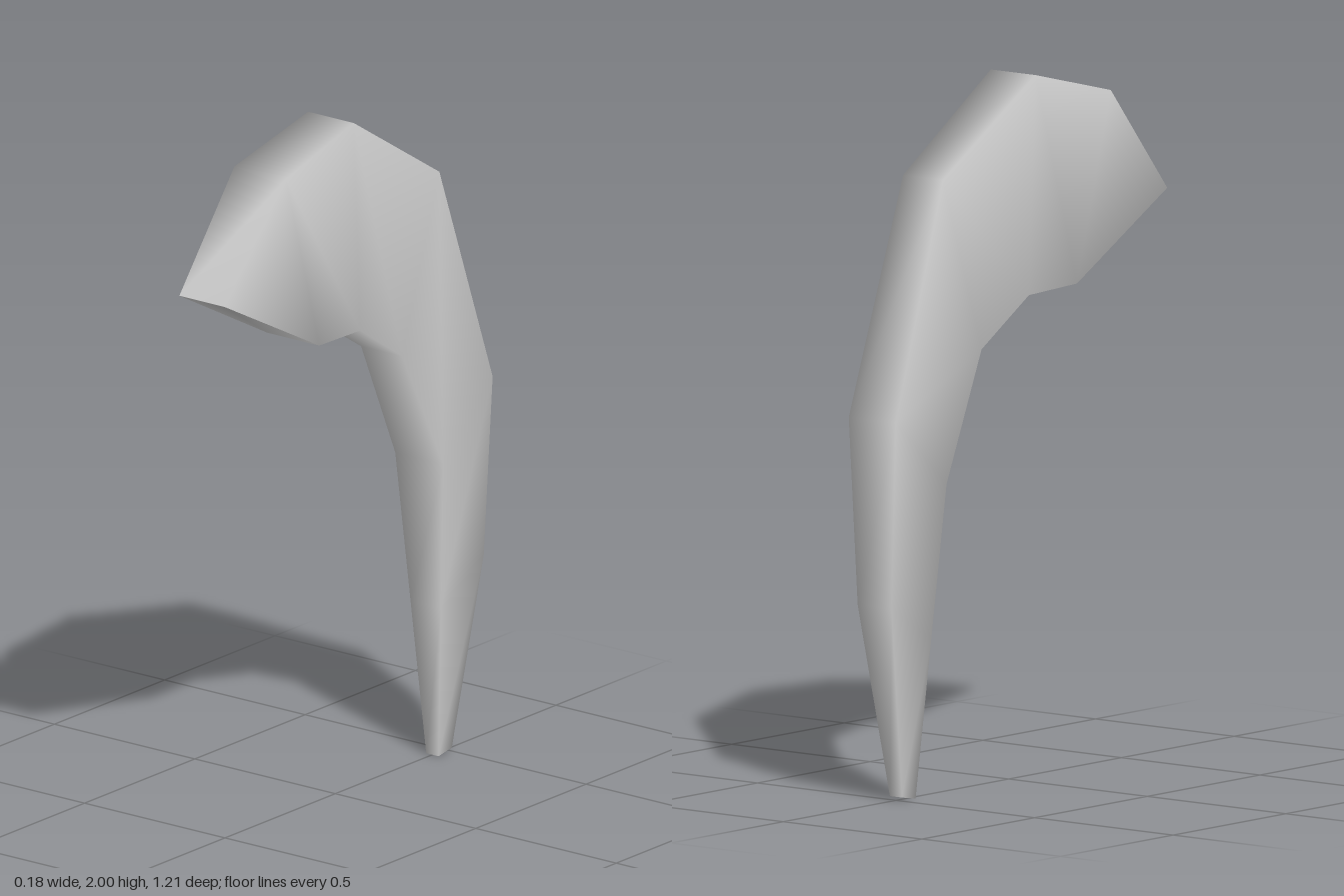
import * as THREE from 'three';

// Cross-sections from the handle end to the tip of the head:
// outer edge [z, y, half width], inner edge [z, y, half width]
const sections = [
  [[-0.50, 0.01, 0.022], [-0.44, 0.00, 0.022]],
  [[-0.595, 0.56, 0.061], [-0.41, 0.45, 0.054]],
  [[-0.605, 1.09, 0.085], [-0.38, 0.89, 0.085]],
  [[-0.38, 1.75, 0.072], [-0.21, 1.25, 0.073]],
  [[0.02, 2.00, 0.081], [-0.01, 1.38, 0.081]],
  [[0.34, 1.92, 0.092], [0.19, 1.39, 0.092]],
  [[0.605, 1.61, 0.08], [0.605, 1.61, 0.08]],
];

// Joins four-cornered rings into one smooth closed skin
function loft(rings) {
  const positions = [];
  const index = [];
  for (const [o, i] of rings) {
    positions.push(o[2], o[1], o[0], -o[2], o[1], o[0]);
    positions.push(-i[2], i[1], i[0], i[2], i[1], i[0]);
  }
  for (let r = 0; r < rings.length - 1; r++) {
    for (let k = 0; k < 4; k++) {
      const a = r * 4 + k;
      const b = r * 4 + (k + 1) % 4;
      index.push(a, b, b + 4, a, b + 4, a + 4);
    }
  }
  index.push(0, 2, 1, 0, 3, 2); // handle end
  const geometry = new THREE.BufferGeometry();
  geometry.setAttribute('position', new THREE.Float32BufferAttribute(positions, 3));
  geometry.setIndex(index);
  geometry.computeVertexNormals();
  return geometry;
}

export function createModel() {
  const group = new THREE.Group();
  group.name = 'curvedClub';
  const paleGrey = new THREE.MeshStandardMaterial({ color: 0xcccccc });
  paleGrey.name = 'paleGrey';

  // Tapered handle bending over into a broad pointed head
  const body = new THREE.Mesh(loft(sections), paleGrey);
  body.name = 'handleAndHead';
  group.add(body);
  return group;
}
